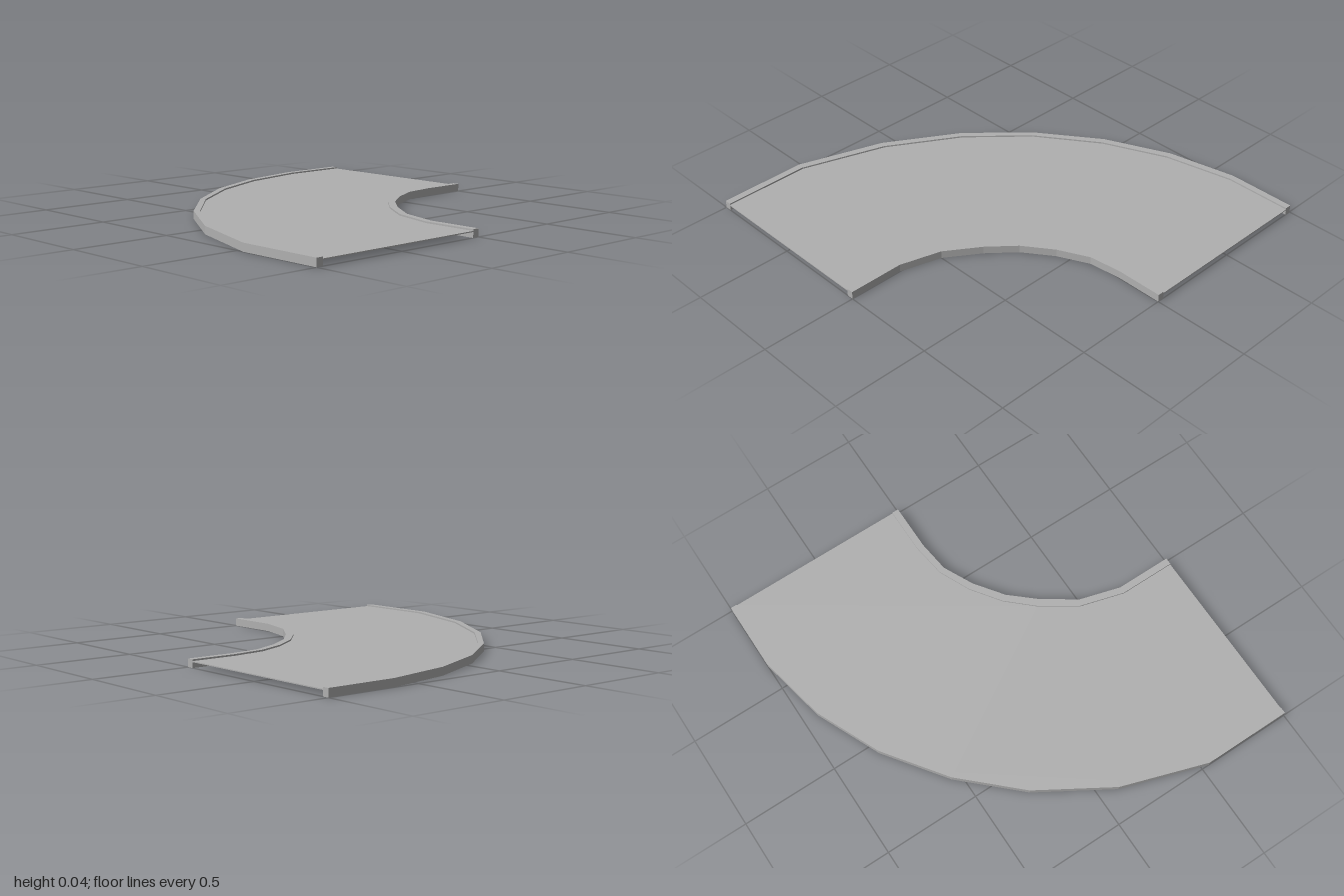
import * as THREE from 'three';

// Plan lines as [x, z], running from the front end round to the side end
const outerEdge = [[-1, 1], [-1, 0.54], [-0.855, 0.1], [-0.63, -0.27], [-0.365, -0.55], [-0.055, -0.775], [0.28, -0.925], [0.64, -1], [1, -1]];
const outerRoad = [[-0.965, 1], [-0.965, 0.545], [-0.822, 0.11], [-0.605, -0.25], [-0.35, -0.525], [-0.04, -0.745], [0.285, -0.89], [0.645, -0.967], [1, -0.967]];
const innerRoad = [[-0.035, 1], [-0.035, 0.71], [0.03, 0.48], [0.15, 0.3], [0.27, 0.17], [0.42, 0.063], [0.58, -0.01], [0.76, -0.035], [1, -0.035]];
const innerEdge = [[0, 1], [0, 0.71], [0.06, 0.5], [0.175, 0.33], [0.29, 0.2], [0.435, 0.095], [0.59, 0.02], [0.755, 0], [1, 0]];

// Solid strip between two plan lines, from height y0 to y1
function strip(name, a, b, y0, y1, material) {
  const outline = [...a, ...[...b].reverse()].map(([x, z]) => new THREE.Vector2(x, -z));
  const geometry = new THREE.ExtrudeGeometry(new THREE.Shape(outline), { depth: y1 - y0, bevelEnabled: false });
  geometry.rotateX(-Math.PI / 2).translate(0, y0, 0);
  const mesh = new THREE.Mesh(geometry, material);
  mesh.name = name;
  return mesh;
}

export function createModel() {
  const grey = new THREE.MeshStandardMaterial({ color: 0xb0b0b0 });
  grey.name = 'grey';

  const model = new THREE.Group();
  model.name = 'curvedTrack';
  // Thin deck carried between two full-height curbs
  model.add(
    strip('deck', outerRoad, innerRoad, 0.027, 0.032, grey),
    strip('outerCurb', outerEdge, outerRoad, 0, 0.04, grey),
    strip('innerCurb', innerRoad, innerEdge, 0, 0.04, grey),
  );
  return model;
}
